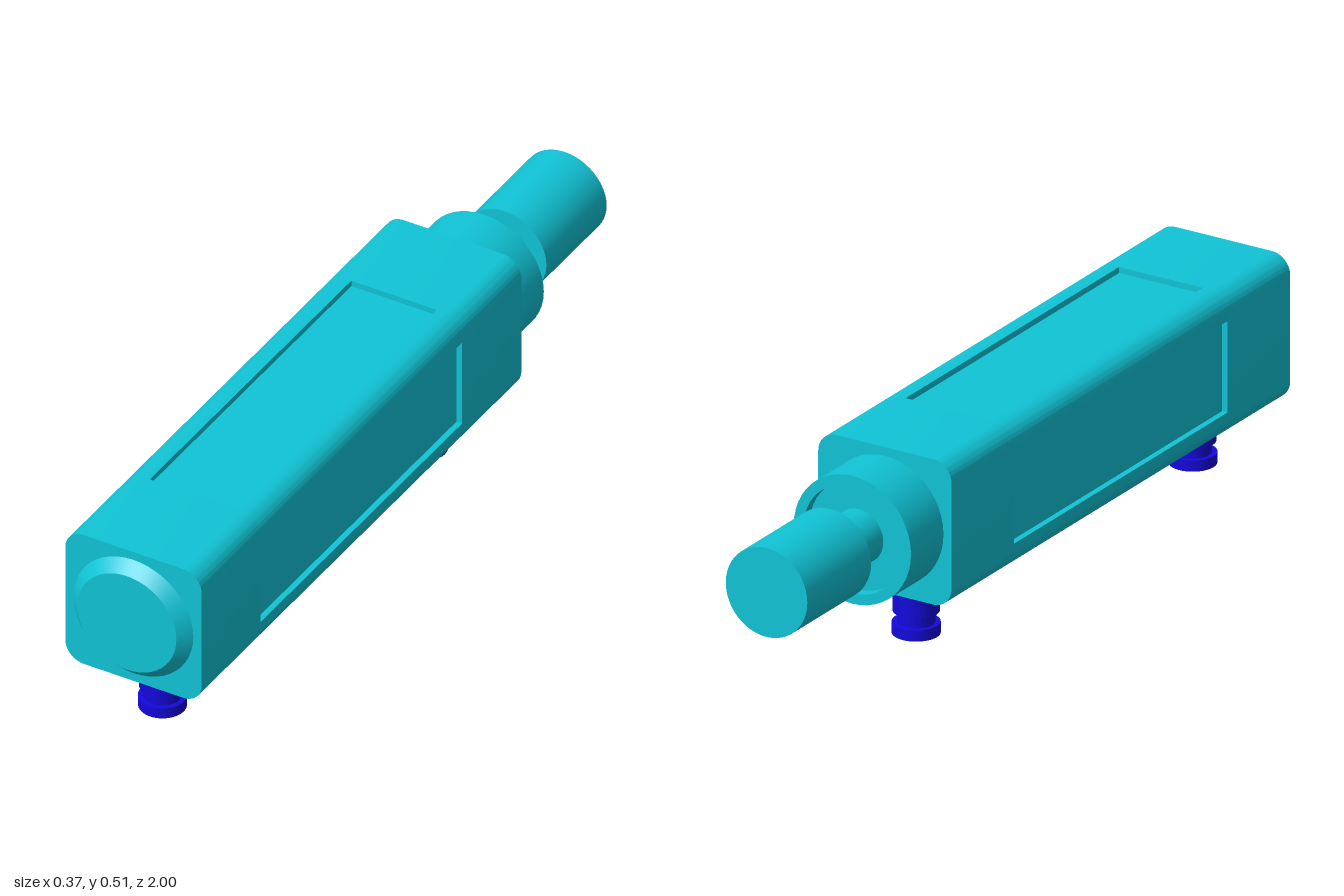
import * as THREE from 'three';
import { toCreasedNormals } from 'three/addons/utils/BufferGeometryUtils.js';

const HALF = 0.183, CORNER = 0.05, AXIS_Y = 0.331;
const PANEL_HALF = 0.115, PANEL_DEPTH = 0.015;
const cyan = new THREE.MeshStandardMaterial({ color: 0x10c4d6 });
const blue = new THREE.MeshStandardMaterial({ color: 0x1408dc });

function addMesh(parent, name, geometry, material) {
  const mesh = new THREE.Mesh(toCreasedNormals(geometry, 0.5), material);
  mesh.name = name;
  parent.add(mesh);
  return mesh;
}

// Rounded square, optionally with a shallow notch in each side
function bodyProfile(notched) {
  const shape = new THREE.Shape();
  const c = HALF - CORNER, floor = HALF - PANEL_DEPTH;
  for (let i = 0; i < 4; i++) {
    const a = i * Math.PI / 2, cos = Math.cos(a), sin = Math.sin(a);
    const turn = (x, y) => [x * cos - y * sin, x * sin + y * cos];
    const side = [[HALF, -c]];
    if (notched) {
      side.push([HALF, -PANEL_HALF], [floor, -PANEL_HALF], [floor, PANEL_HALF], [HALF, PANEL_HALF]);
    }
    side.forEach(([x, y], k) => {
      if (i === 0 && k === 0) shape.moveTo(...turn(x, y));
      else if (k > 0) shape.lineTo(...turn(x, y));
    });
    shape.absarc(...turn(c, c), CORNER, a, a + Math.PI / 2, false);
  }
  return shape;
}

function bodySection(z0, z1, notched) {
  const geometry = new THREE.ExtrudeGeometry(bodyProfile(notched), {
    depth: z1 - z0, bevelEnabled: false, curveSegments: 8,
  });
  return geometry.translate(0, AXIS_Y, z0);
}

function lathe(points) {
  return new THREE.LatheGeometry(points.map(([r, y]) => new THREE.Vector2(r, y)), 48);
}

export function createModel() {
  const model = new THREE.Group();
  model.name = 'cylinderActuator';

  // Square housing with a recessed panel on all four sides
  const body = new THREE.Group();
  body.name = 'body';
  model.add(body);
  addMesh(body, 'bodyRear', bodySection(-0.49, -0.22, false), cyan);
  addMesh(body, 'bodyPanels', bodySection(-0.22, 0.70, true), cyan);
  addMesh(body, 'bodyFront', bodySection(0.70, 0.97, false), cyan);

  // Chamfered disc on the front
  const cap = addMesh(model, 'frontCap',
    lathe([[0.161, 0], [0.133, 0.03], [0, 0.03]]).rotateX(Math.PI / 2), cyan);
  cap.position.set(0, AXIS_Y, 0.97);

  // Hollow collar at the rear, with the rod leaving its centre
  const collar = addMesh(model, 'rearCollar',
    lathe([[0.161, 0], [0.161, 0.14], [0.135, 0.14], [0.135, 0.112], [0, 0.112]])
      .rotateX(-Math.PI / 2), cyan);
  collar.position.set(0, AXIS_Y, -0.49);

  const rod = addMesh(model, 'rod',
    lathe([[0.067, 0.112], [0.067, 0.235], [0.112, 0.235], [0.112, 0.51], [0, 0.51]])
      .rotateX(-Math.PI / 2), cyan);
  rod.position.set(0, AXIS_Y, -0.49);

  // Grooved ports underneath, open at the bottom
  const port = [[0, 0.06], [0.036, 0.06], [0.036, 0], [0.057, 0], [0.057, 0.028],
    [0.045, 0.028], [0.045, 0.056], [0.055, 0.056], [0.055, 0.155]];
  for (const [name, z] of [['frontPort', 0.837], ['rearPort', -0.355]]) {
    addMesh(model, name, lathe(port), blue).position.z = z;
  }
  return model;
}
